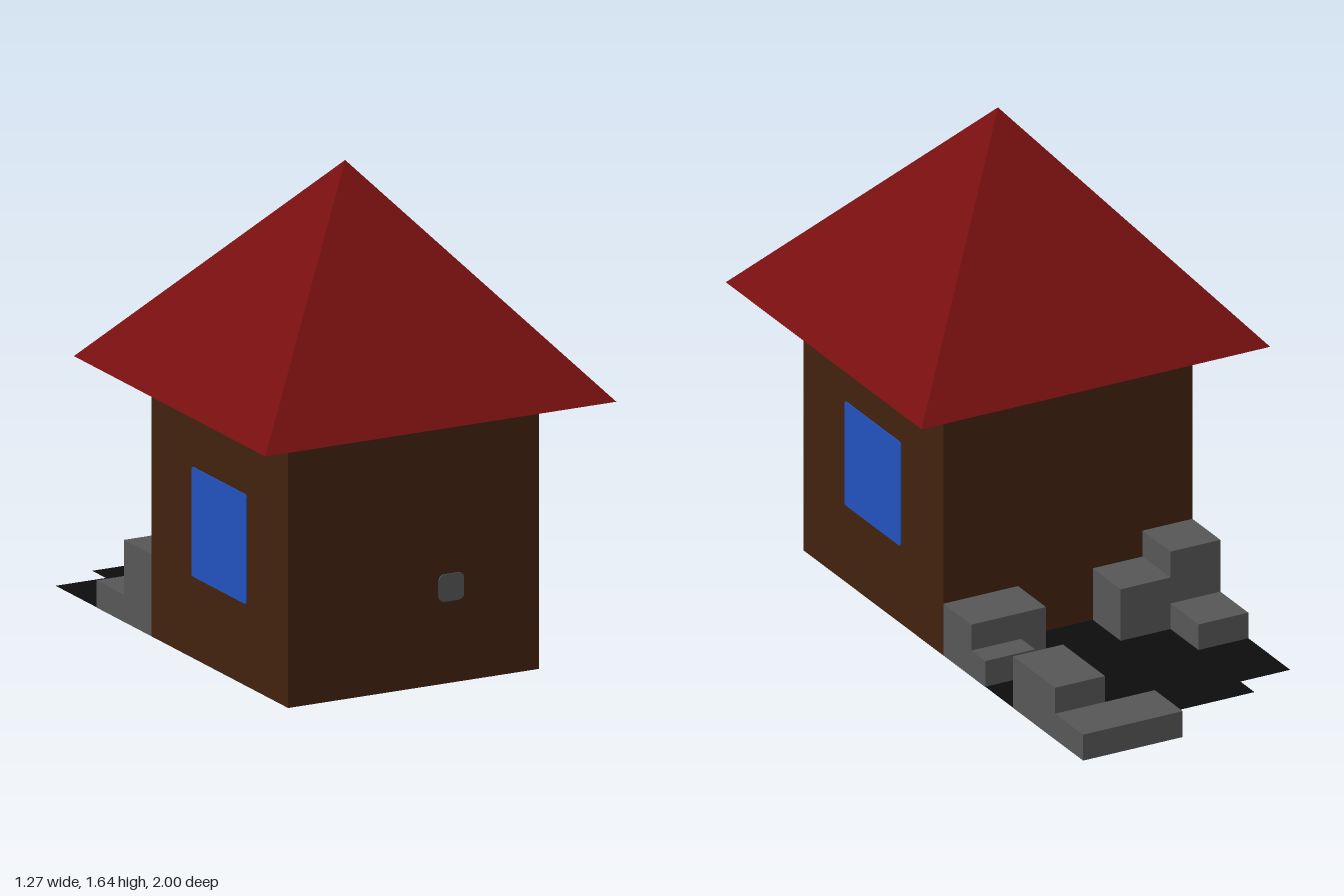
import * as THREE from 'three';

const U = 1 / 11; // grid unit used by every block

function mat(name, color, side = THREE.FrontSide) {
  const m = new THREE.MeshStandardMaterial({ color, side });
  m.name = name;
  return m;
}

export function createModel() {
  const group = new THREE.Group();
  const brown = mat('brownWood', 0x42220f);
  const red = mat('redRoof', 0x780f0f);
  const blue = mat('windowBlue', 0x2152bd);
  const stone = mat('greyStone', 0x565656);
  const slate = mat('slateUnderside', 0x5a6675);
  const black = mat('blackGround', 0x0c0c0c, THREE.DoubleSide);
  const yellow = mat('paleYellow', 0x9a9a58);
  const skyBlue = mat('chamberBlue', 0x5c9dc2);
  const green = mat('chamberGreen', 0x58cc84);

  const add = (name, geometry, material) => {
    const mesh = new THREE.Mesh(geometry, material);
    mesh.name = name;
    group.add(mesh);
    return mesh;
  };

  // Box from its minimum and maximum corners, in grid units
  const block = (name, [x0, y0, z0], [x1, y1, z1], material) => {
    const mesh = add(name, new THREE.BoxGeometry((x1 - x0) * U, (y1 - y0) * U, (z1 - z0) * U), material);
    mesh.position.set((x0 + x1) / 2 * U, (y0 + y1) / 2 * U, (z0 + z1) / 2 * U);
    return mesh;
  };

  const square = (Type, s) => new Type([
    new THREE.Vector2(-s, -s), new THREE.Vector2(s, -s),
    new THREE.Vector2(s, s), new THREE.Vector2(-s, s),
  ]);

  // House walls, with a square opening in the underside
  const plan = square(THREE.Shape, 5 * U);
  plan.holes.push(square(THREE.Path, 3 * U));
  const walls = new THREE.ExtrudeGeometry(plan, { depth: 10 * U, bevelEnabled: false });
  walls.rotateX(-Math.PI / 2);
  add('houseWalls', walls, [slate, brown]).position.z = 4 * U;

  // Coloured lining of the chamber inside the house
  for (const s of [-1, 1]) {
    const a = Math.min(s * 3, s * 2.95), b = Math.max(s * 3, s * 2.95);
    block('chamberSideLining', [a, 0, 1], [b, 10, 7], green);
    block('chamberEndLining', [-2.95, 0, 4 + a], [2.95, 10, 4 + b], skyBlue);
  }

  // Pyramid roof
  const roof = new THREE.ConeGeometry(7 * U * Math.SQRT2, 8 * U, 4).rotateY(Math.PI / 4).toNonIndexed();
  roof.computeVertexNormals();
  add('roof', roof, red).position.set(0, 14 * U, 4 * U);

  // Thin plates with softly rounded corners
  const plate = (w, h, r) => {
    const s = new THREE.Shape();
    const x = w / 2, y = h / 2;
    s.absarc(x - r, y - r, r, 0, Math.PI / 2);
    s.absarc(-x + r, y - r, r, Math.PI / 2, Math.PI);
    s.absarc(-x + r, -y + r, r, Math.PI, Math.PI * 1.5);
    s.absarc(x - r, -y + r, r, Math.PI * 1.5, Math.PI * 2);
    return new THREE.ExtrudeGeometry(s, { depth: 0.004, bevelEnabled: false, curveSegments: 4 });
  };
  for (const s of [-1, 1]) {
    const pane = add(s > 0 ? 'leftWindow' : 'rightWindow', plate(4 * U, 4 * U, 0.01), blue);
    pane.position.set(s * 5 * U, 5 * U, 4 * U);
    pane.rotation.y = s * Math.PI / 2;
  }
  add('doorKnob', plate(U, U, 0.02), stone).position.set(1.5 * U, 3.5 * U, 9 * U);

  // Stones around the pond
  const stoneSides = [stone, stone, stone, slate, stone, stone];
  const stones = [
    [[-5, 0, -3], [-3, 3, -1]],
    [[-3, 0, -3], [-1, 2, -1]],
    [[-5, 0, -5], [-3, 1, -3]],
    [[2, 0, -3], [5, 2, -1]],
    [[3, 0, -4], [5, 1, -3]],
    [[3, 0, -9], [5, 2, -6]],
  ];
  stones.forEach(([a, b]) => block('pondStone', a, b, stoneSides));
  block('pondEdgeStone', [1, 0, -11], [5, 1, -9], [stone, stone, stone, slate, yellow, stone]);

  // Stepped pond bed, listed as x and distance behind the centre
  const outline = [
    [-1, 1], [2, 1], [2, 3], [3, 3], [3, 4], [5, 4], [5, 6], [3, 6],
    [3, 9], [-3, 9], [-3, 8], [-5, 8], [-5, 5], [-3, 5], [-3, 3], [-1, 3],
  ];
  const pond = new THREE.ShapeGeometry(new THREE.Shape(outline.map(([x, d]) => new THREE.Vector2(x * U, d * U))));
  add('pondBed', pond.rotateX(-Math.PI / 2), black).position.y = 0.001;

  return group;
}
